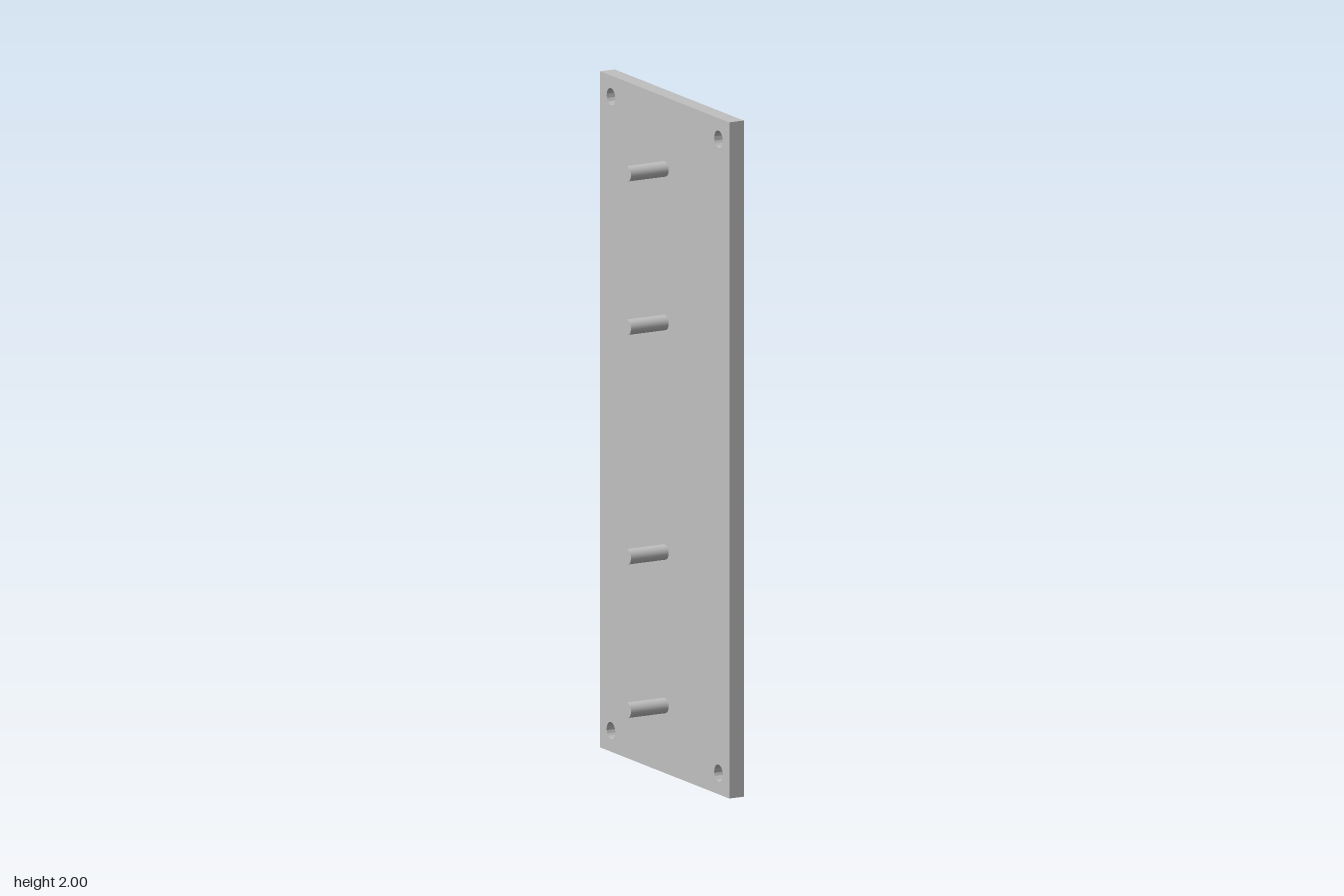
import * as THREE from 'three';
import { toCreasedNormals } from 'three/addons/utils/BufferGeometryUtils.js';

const HALF = 0.0865;       // half of the overall depth along x
const PLATE_BACK = 0.0385; // inner face of the plate
const WIDTH = 0.75, HEIGHT = 2;

export function createModel() {
  const group = new THREE.Group();
  const grey = new THREE.MeshStandardMaterial({ color: 0xc0c0c0 });
  grey.name = 'light grey';

  // Upright plate with a through hole near each corner
  const outline = new THREE.Shape();
  outline.moveTo(-WIDTH / 2, 0);
  outline.lineTo(WIDTH / 2, 0);
  outline.lineTo(WIDTH / 2, HEIGHT);
  outline.lineTo(-WIDTH / 2, HEIGHT);
  outline.closePath();
  for (const x of [-0.3125, 0.3125]) {
    for (const y of [0.0625, HEIGHT - 0.0625]) {
      const hole = new THREE.Path();
      hole.absarc(x, y, 0.025, 0, Math.PI * 2, true);
      outline.holes.push(hole);
    }
  }
  const plateGeometry = new THREE.ExtrudeGeometry(outline, {
    depth: HALF - PLATE_BACK, bevelEnabled: false, curveSegments: 32,
  });
  plateGeometry.rotateY(Math.PI / 2);
  plateGeometry.translate(PLATE_BACK, 0, 0);
  const plate = new THREE.Mesh(toCreasedNormals(plateGeometry, 0.6), grey);
  plate.name = 'plate';
  group.add(plate);

  // Row of round pegs along the centre line of the inner face
  const length = PLATE_BACK + HALF;
  const pegGeometry = new THREE.CylinderGeometry(0.0225, 0.0225, length, 32);
  pegGeometry.rotateZ(Math.PI / 2);
  [0.2, 0.654, 1.333, 1.787].forEach((y, i) => {
    const peg = new THREE.Mesh(pegGeometry, grey);
    peg.name = `peg${i + 1}`;
    peg.position.set(PLATE_BACK - length / 2, y, 0);
    group.add(peg);
  });

  return group;
}
